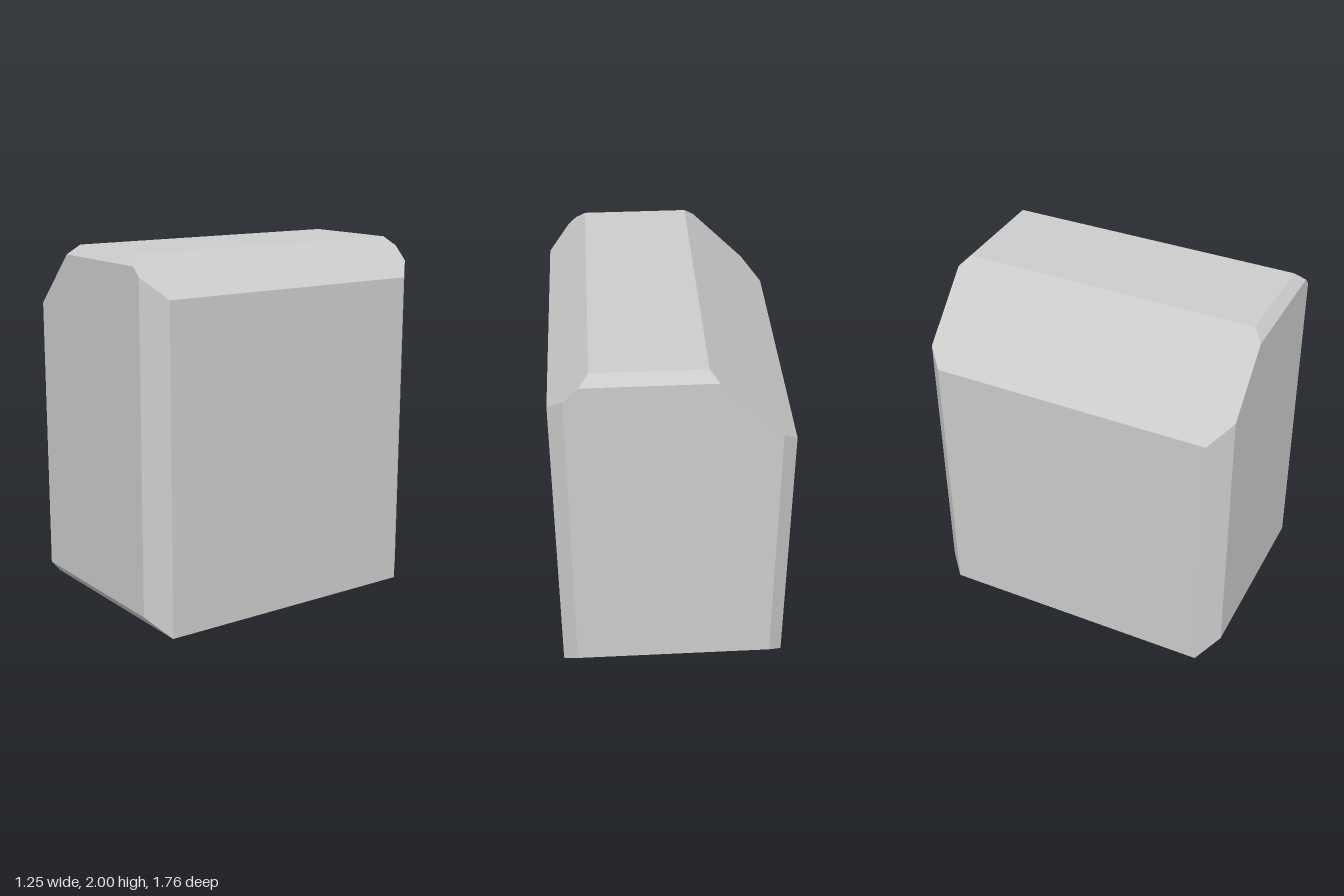
import * as THREE from 'three';
import { ConvexGeometry } from 'three/addons/geometries/ConvexGeometry.js';

const HALF_W = 0.627, HALF_D = 0.878, HEIGHT = 2;

// Outline with a 45 degree shoulder on each side, drawn in by a margin at the sides, base and top
function outline(side, base, top) {
  const x = HALF_W - side, y = HEIGHT - top;
  const leftSlope = 2.167, rightSlope = 2.415; // y = x + left, y = right - x
  return [
    [-x, base], [x, base],
    [x, rightSlope - x], [rightSlope - y, y],
    [y - leftSlope, y], [-x, leftSlope - x],
  ];
}

// Corner points of one chamfered end; dir is +1 for the front, -1 for the back
function endPoints(dir, chamfer, topChamfer) {
  const points = [];
  // End face
  for (const [x, y] of outline(chamfer, chamfer, topChamfer)) {
    points.push(new THREE.Vector3(x, y, dir * HALF_D));
  }
  // Full outline behind the chamfers, narrower bevel along the top edge
  for (const [x, y] of outline(0, 0, 0)) {
    const inset = y > HEIGHT - 0.001 ? topChamfer : chamfer;
    points.push(new THREE.Vector3(x, y, dir * (HALF_D - inset)));
  }
  return points;
}

export function createModel() {
  const group = new THREE.Group();
  group.name = 'chamferedBlock';

  // Solid block: wide bevels at the front, slightly narrower at the back
  const geometry = new ConvexGeometry([
    ...endPoints(1, 0.11, 0.054),
    ...endPoints(-1, 0.082, 0.051),
  ]);
  const body = new THREE.Mesh(
    geometry,
    new THREE.MeshStandardMaterial({ color: 0xcccccc, flatShading: true })
  );
  body.name = 'body';
  group.add(body);
  return group;
}
